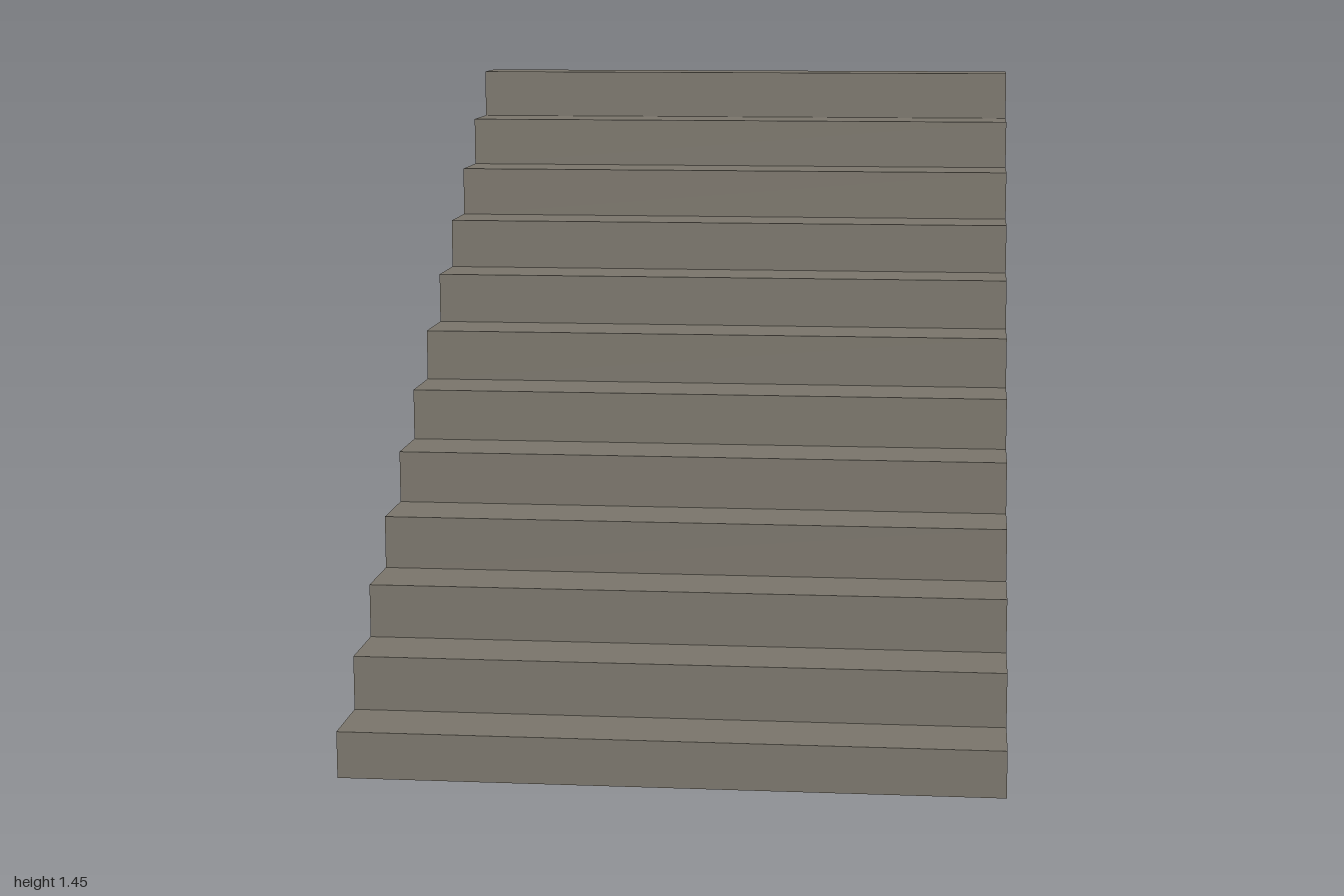
import * as THREE from 'three';

const STEPS = 12;
const WIDTH = 1.446;
const FIRST_RISE = 0.104, RISE = 0.122;
const RUN = 0.1695;
const FRONT = 1, BACK = -1;

export function createModel() {
  const model = new THREE.Group();
  model.name = 'staircase';
  const stone = new THREE.MeshStandardMaterial({ color: 0x7b766c, side: THREE.DoubleSide });
  stone.name = 'warm grey stone';

  const addSheet = (name, depth, y, z, flat) => {
    const sheet = new THREE.Mesh(new THREE.PlaneGeometry(WIDTH, depth), stone);
    sheet.name = name;
    sheet.position.set(0, y, z);
    if (flat) sheet.rotation.x = -Math.PI / 2;
    model.add(sheet);
  };

  // Open, folded flight: the lowest riser and the top tread are shorter
  for (let i = 0; i < STEPS; i++) {
    const bottom = i === 0 ? 0 : FIRST_RISE + (i - 1) * RISE;
    const top = FIRST_RISE + i * RISE;
    const front = FRONT - i * RUN;
    const back = Math.max(front - RUN, BACK);
    addSheet(`riser${i + 1}`, top - bottom, (top + bottom) / 2, front, false);
    addSheet(`tread${i + 1}`, front - back, top, (front + back) / 2, true);
  }
  return model;
}
